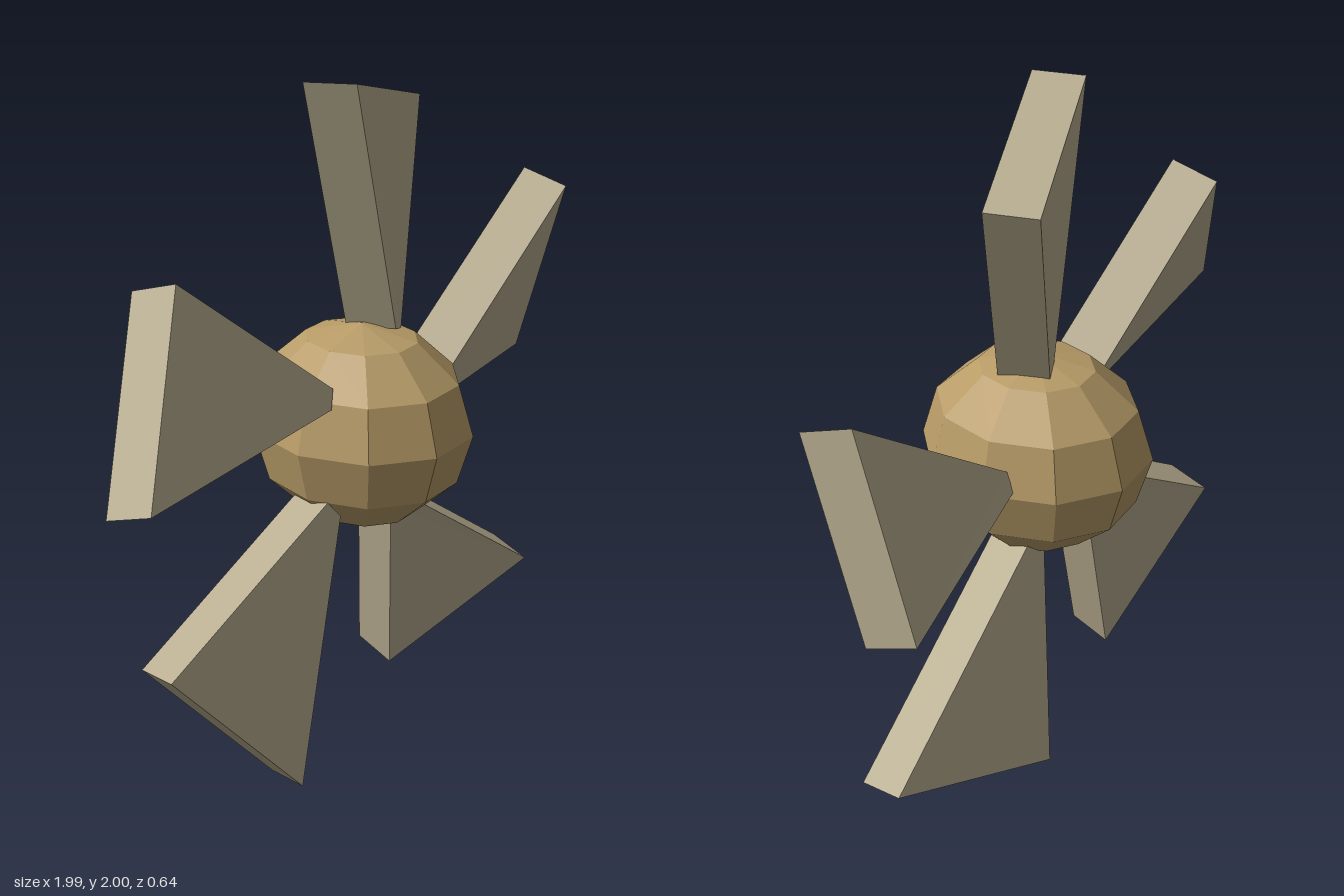
import * as THREE from 'three';

// Blade outline on its front side, relative to the hub centre, counter-clockwise
const FRONT = [
  [-0.19, 1.03, 0.12],   // outer leading corner
  [0.055, 0.282, 0.08],  // inner leading corner
  [0.11, 0.264, 0.06],   // inner trailing corner
  [0.355, 0.875, -0.05], // outer trailing corner
];
const THICKNESS = [-0.045, -0.005, -0.14];

// Solid slab: the outline, its copy shifted backwards, and the sides between
function slabGeometry(front, shift) {
  const back = front.map((p) => p.map((v, k) => v + shift[k]));
  const positions = [];
  const quad = (a, b, c, d) => positions.push(...a, ...b, ...c, ...a, ...c, ...d);
  quad(...front);
  quad(...[...back].reverse());
  front.forEach((p, i) => {
    const j = (i + 1) % front.length;
    quad(p, back[i], back[j], front[j]);
  });
  const geometry = new THREE.BufferGeometry();
  geometry.setAttribute('position', new THREE.Float32BufferAttribute(positions, 3));
  geometry.computeVertexNormals();
  return geometry;
}

export function createModel() {
  const model = new THREE.Group();
  model.name = 'propeller';

  const rotor = new THREE.Group();
  rotor.name = 'rotor';
  rotor.position.set(0.05, 0.97, 0);
  model.add(rotor);

  // Faceted hub, slightly stretched along the axle
  const hub = new THREE.Mesh(
    new THREE.SphereGeometry(0.3, 10, 6),
    new THREE.MeshStandardMaterial({ color: 0xb89c68, flatShading: true })
  );
  hub.name = 'hub';
  hub.scale.z = 1.125;
  rotor.add(hub);

  // Five pitched, flaring blades around the hub
  const bladeGeometry = slabGeometry(FRONT, THICKNESS);
  const bladeMaterial = new THREE.MeshStandardMaterial({ color: 0xb8ad90, flatShading: true });
  for (let i = 0; i < 5; i++) {
    const blade = new THREE.Mesh(bladeGeometry, bladeMaterial);
    blade.name = `blade${i + 1}`;
    blade.rotation.z = (i * Math.PI * 2) / 5;
    rotor.add(blade);
  }

  return model;
}
